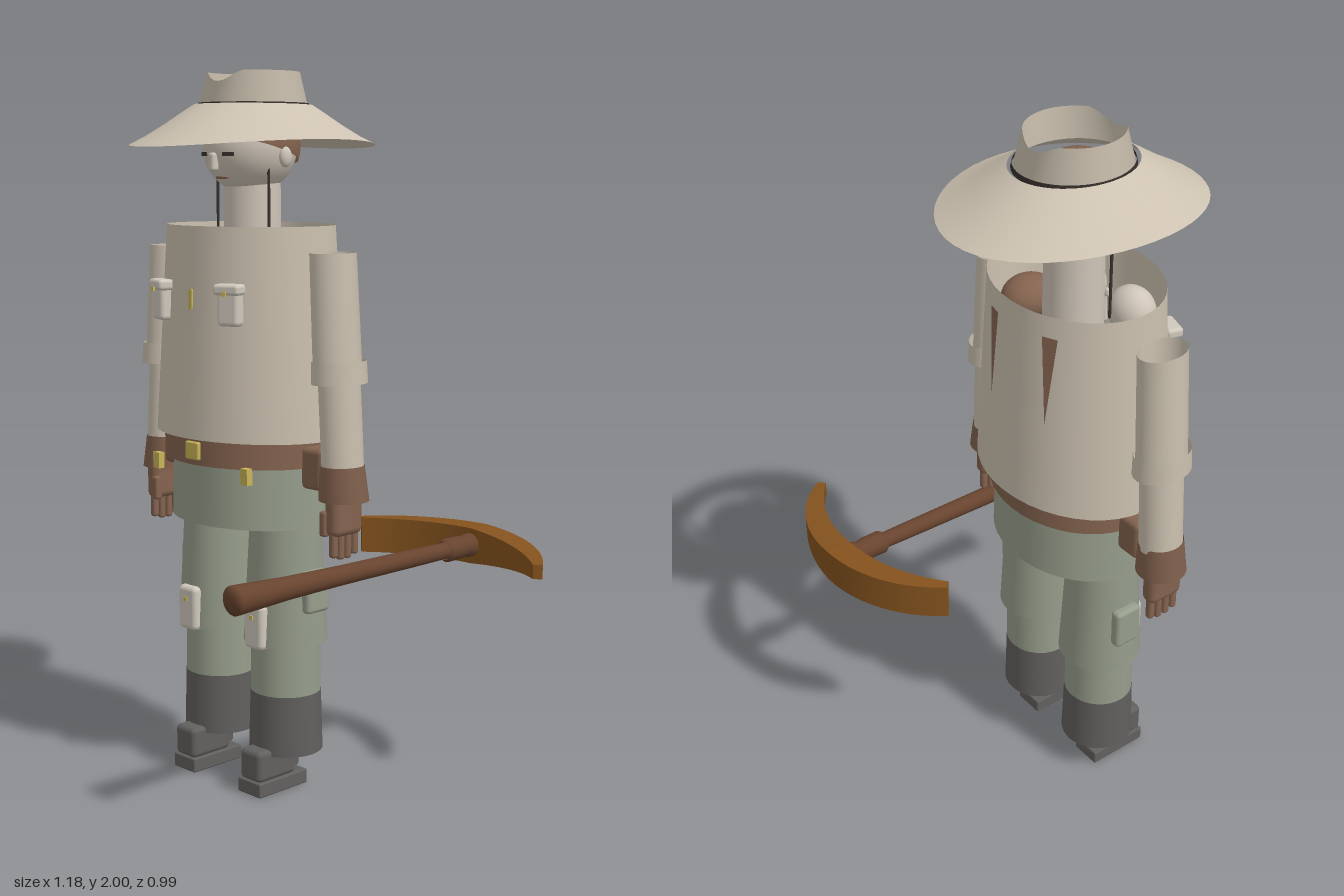
import * as THREE from 'three';
import { RoundedBoxGeometry } from 'three/addons/geometries/RoundedBoxGeometry.js';

export function createModel() {
  const paint = (name, color) => {
    const m = new THREE.MeshStandardMaterial({ color, side: THREE.DoubleSide });
    m.name = name;
    return m;
  };
  const cloth = paint('sand cloth', 0xcdc2b1), skin = paint('pale skin', 0xcfc5b8);
  const olive = paint('olive trousers', 0x979e8c), leather = paint('brown leather', 0x84634f);
  const grey = paint('boot grey', 0x62605e), wood = paint('handle wood', 0x68442f);
  const blade = paint('bronze blade', 0x85531e), brass = paint('brass', 0xc9b558);
  const dark = paint('dark cord', 0x3a322e), pad = paint('pale pad', 0xd0c9bd);

  const model = new THREE.Group();
  const man = new THREE.Group();
  man.name = 'figure';
  man.position.x = -0.147;
  model.add(man);

  const add = (name, geo, mat, x = 0, y = 0, z = 0, parent = man) => {
    const m = new THREE.Mesh(geo, mat);
    m.name = name;
    m.position.set(x, y, z);
    parent.add(m);
    return m;
  };
  // Open elliptical sleeve between two rings [x, y, z, rx, rz]
  const sleeve = (name, mat, top, bottom, closed = false) => {
    const h = top[1] - bottom[1];
    const geo = new THREE.CylinderGeometry(1, 1, h, 40, 1, !closed);
    const p = geo.attributes.position;
    for (let i = 0; i < p.count; i++) {
      const r = p.getY(i) > 0 ? top : bottom;
      p.setXYZ(i, r[0] + p.getX(i) * r[3], r[1], r[2] + p.getZ(i) * r[4]);
    }
    return add(name, geo, mat);
  };
  const block = (name, mat, w, h, d, x, y, z, round = 0) => add(name,
    round ? new RoundedBoxGeometry(w, h, d, 2, round) : new THREE.BoxGeometry(w, h, d), mat, x, y, z);
  const ball = (name, mat, rx, ry, rz, x, y, z) =>
    add(name, new THREE.SphereGeometry(1, 28, 18).scale(rx, ry, rz), mat, x, y, z);

  // Head, hair and face
  ball('head', skin, 0.126, 0.13, 0.136, 0, 1.8, 0.073);
  sleeve('neck', skin, [0, 1.72, 0.065, 0.077, 0.08], [0, 1.45, 0.065, 0.08, 0.082]);
  const hair = add('hair', new THREE.SphereGeometry(1, 32, 16, 0, Math.PI * 2, 0, Math.PI * 0.53),
    leather, 0, 1.802, 0.066);
  hair.scale.set(0.13, 0.133, 0.139);
  hair.rotation.x = -0.28;
  block('nose', skin, 0.022, 0.05, 0.025, 0, 1.757, 0.207, 0.008);
  block('mouth', leather, 0.045, 0.006, 0.008, 0, 1.714, 0.174);
  for (const s of [-1, 1]) {
    block('eye', dark, 0.034, 0.01, 0.008, s * 0.047, 1.778, 0.196).rotation.y = s * 0.35;
    ball('ear', skin, 0.014, 0.028, 0.02, s * 0.128, 1.77, 0.06);
    add('chinCord', new THREE.CylinderGeometry(0.004, 0.004, 0.28, 8), dark, s * 0.104, 1.64, 0.1);
  }

  // Hat: drooping brim, open dented crown, band
  const brim = new THREE.LatheGeometry([[0.147, 1.912], [0.18, 1.889], [0.22, 1.861], [0.265, 1.834], [0.305, 1.816]]
    .map(([r, y]) => new THREE.Vector2(r, y)), 48);
  const bp = brim.attributes.position;
  for (let i = 0; i < bp.count; i++) {
    const t = (Math.hypot(bp.getX(i), bp.getZ(i)) - 0.147) / 0.158;
    bp.setY(i, bp.getY(i) - 0.02 * t * (bp.getZ(i) / 0.305) ** 2);
  }
  brim.scale(1, 1, 1.2);
  brim.computeVertexNormals();
  add('hatBrim', brim, cloth, 0, 0, 0.058);
  const crown = sleeve('hatCrown', cloth, [0, 2, 0.058, 0.125, 0.13], [0, 1.903, 0.058, 0.142, 0.158]);
  const cp = crown.geometry.attributes.position;
  for (let i = 0; i < cp.count; i++)
    if (cp.getY(i) > 1.99) cp.setY(i, 2 - 0.028 * Math.max(0, 1 - (cp.getX(i) / 0.065) ** 2));
  sleeve('hatBand', dark, [0, 1.916, 0.058, 0.144, 0.16], [0, 1.902, 0.058, 0.147, 0.163]);

  // Shirt, open at the collar and hem, with the body just showing inside
  sleeve('shirt', cloth, [0, 1.587, 0.072, 0.26, 0.21], [0, 1.01, 0.073, 0.302, 0.237]);
  ball('shoulderBody', leather, 0.07, 0.06, 0.08, 0.14, 1.48, 0.03);
  block('shirtButton', brass, 0.013, 0.055, 0.01, 0, 1.39, 0.291);
  for (const s of [-1, 1]) {
    ball('chest', skin, 0.07, 0.07, 0.06, s * 0.1, 1.49, 0.18);
    // Breast pockets
    const yaw = s * 0.3;
    block('breastPocket', pad, 0.066, 0.1, 0.04, s * 0.14, 1.375, 0.275, 0.012).rotation.y = yaw;
    block('pocketFlap', pad, 0.08, 0.03, 0.048, s * 0.14, 1.423, 0.279, 0.01).rotation.y = yaw;
    block('pocketButton', brass, 0.012, 0.012, 0.006, s * 0.146, 1.412, 0.304).rotation.y = yaw;
  }
  // Tapered slits across the back of the shirt
  for (const x of [0.07, -0.13]) {
    const slit = new THREE.BufferGeometry();
    const back = (dx, y) => {
      const t = (1.587 - y) / 0.577;
      return [dx, y, 0.072 - (0.214 + 0.027 * t) * Math.sqrt(1 - (dx / (0.264 + 0.042 * t)) ** 2)];
    };
    slit.setAttribute('position', new THREE.Float32BufferAttribute(
      [...back(x - 0.02, 1.53), ...back(x + 0.02, 1.53), ...back(x, 1.28)], 3));
    slit.computeVertexNormals();
    slit.setIndex([0, 1, 2]);
    slit.computeVertexNormals();
    add('backSlit', slit, leather);
  }

  // Belt and hips
  sleeve('belt', leather, [0, 1.012, 0.077, 0.262, 0.212], [0, 0.935, 0.077, 0.262, 0.212]);
  block('buckle', brass, 0.054, 0.05, 0.016, 0, 0.975, 0.29, 0.005);
  sleeve('hips', olive, [0, 0.945, 0.075, 0.25, 0.192], [0, 0.765, 0.075, 0.256, 0.197]);
  for (const s of [-1, 1]) {
    block('beltPouch', leather, 0.08, 0.115, 0.1, s * 0.29, 0.938, 0.075, 0.015);
    block('beltClip', brass, 0.026, 0.045, 0.02, s * 0.184, 0.922, 0.262);
  }

  for (const s of [-1, 1]) {
    // Legs
    const lx = s * 0.14, lz = 0.075;
    sleeve('thigh', olive, [lx, 0.86, lz, 0.095, 0.095], [lx, 0.43, lz, 0.119, 0.118]);
    sleeve('shin', olive, [lx, 0.46, lz, 0.1, 0.096], [lx, 0.28, lz, 0.1, 0.098]);
    sleeve('gaiter', grey, [lx, 0.283, lz, 0.101, 0.099], [lx, 0.11, lz, 0.106, 0.104]);
    block('kneePad', pad, 0.076, 0.13, 0.04, lx, 0.485, 0.185, 0.015);
    block('kneeStud', brass, 0.012, 0.012, 0.006, lx, 0.512, 0.206);
    block('thighPouch', pad, 0.035, 0.12, 0.085, lx + s * 0.113, 0.585, 0.07, 0.012).material = olive;
    // Boots
    sleeve('ankle', grey, [lx, 0.2, 0.09, 0.042, 0.05], [lx, 0.06, 0.09, 0.042, 0.05], true);
    block('bootUpper', grey, 0.084, 0.09, 0.145, lx, 0.085, 0.145, 0.015);
    block('bootSole', grey, 0.092, 0.042, 0.185, lx, 0.021, 0.127, 0.005);

    // Arms
    sleeve('upperArm', cloth, [s * 0.33, 1.52, 0.08, 0.05, 0.074], [s * 0.35, 1.18, 0.08, 0.053, 0.078]);
    sleeve('sleeveCuff', cloth, [s * 0.352, 1.235, 0.078, 0.062, 0.085], [s * 0.354, 1.175, 0.078, 0.064, 0.087]);
    sleeve('forearm', cloth, [s * 0.352, 1.19, 0.078, 0.05, 0.064], [s * 0.367, 0.94, 0.078, 0.05, 0.064]);
    sleeve('gloveCuff', leather, [s * 0.365, 0.955, 0.079, 0.057, 0.064], [s * 0.372, 0.86, 0.079, 0.068, 0.069]);
    block('palm', leather, 0.05, 0.14, 0.11, s * 0.375, 0.835, 0.083, 0.02);
    for (let i = 0; i < 4; i++)
      block('finger', leather, 0.022, 0.09, 0.021, s * 0.376, 0.745 + (i === 0 || i === 3 ? 0.008 : 0), 0.045 + i * 0.026, 0.008);
    block('thumb', leather, 0.024, 0.07, 0.024, s * 0.352, 0.8, 0.133, 0.008);
  }

  // Pickaxe: turned handle with collar, and a curved head
  const pick = new THREE.Group();
  pick.name = 'pickaxe';
  model.add(pick);
  const turned = (pts) => {
    const geo = new THREE.LatheGeometry(pts.map(([r, z]) => new THREE.Vector2(r, z)), 20).rotateX(Math.PI / 2);
    const p = geo.attributes.position;
    for (let i = 0; i < p.count; i++) p.setX(i, p.getX(i) - 0.017 * p.getZ(i));
    return geo;
  };
  add('handle', turned([[0, -0.44], [0.022, -0.44], [0.025, -0.2], [0.027, 0.1], [0.031, 0.3], [0.04, 0.49], [0, 0.491]]),
    wood, 0.244, 0.66, 0, pick);
  add('collar', turned([[0.034, -0.425], [0.034, -0.4], [0.029, -0.39], [0.033, -0.37], [0.034, -0.315], [0.027, -0.305]]),
    wood, 0.244, 0.66, 0, pick);
  const head = new THREE.BoxGeometry(1, 1, 1, 28, 1, 1);
  const hp = head.attributes.position;
  for (let i = 0; i < hp.count; i++) {
    const u = hp.getX(i) * 2;
    const a = u * 0.85;
    const r = 0.44 + -hp.getZ(i) * (0.076 - 0.05 * u * u);
    const tall = 0.104 - (u > 0 ? 0.064 * u : 0);
    hp.setXYZ(i, 0.253 + Math.sin(a) * r, 0.657 + hp.getY(i) * tall, -0.018 - Math.cos(a) * r);
  }
  head.computeVertexNormals();
  add('pickHead', head, blade, 0, 0, 0, pick);

  return model;
}
